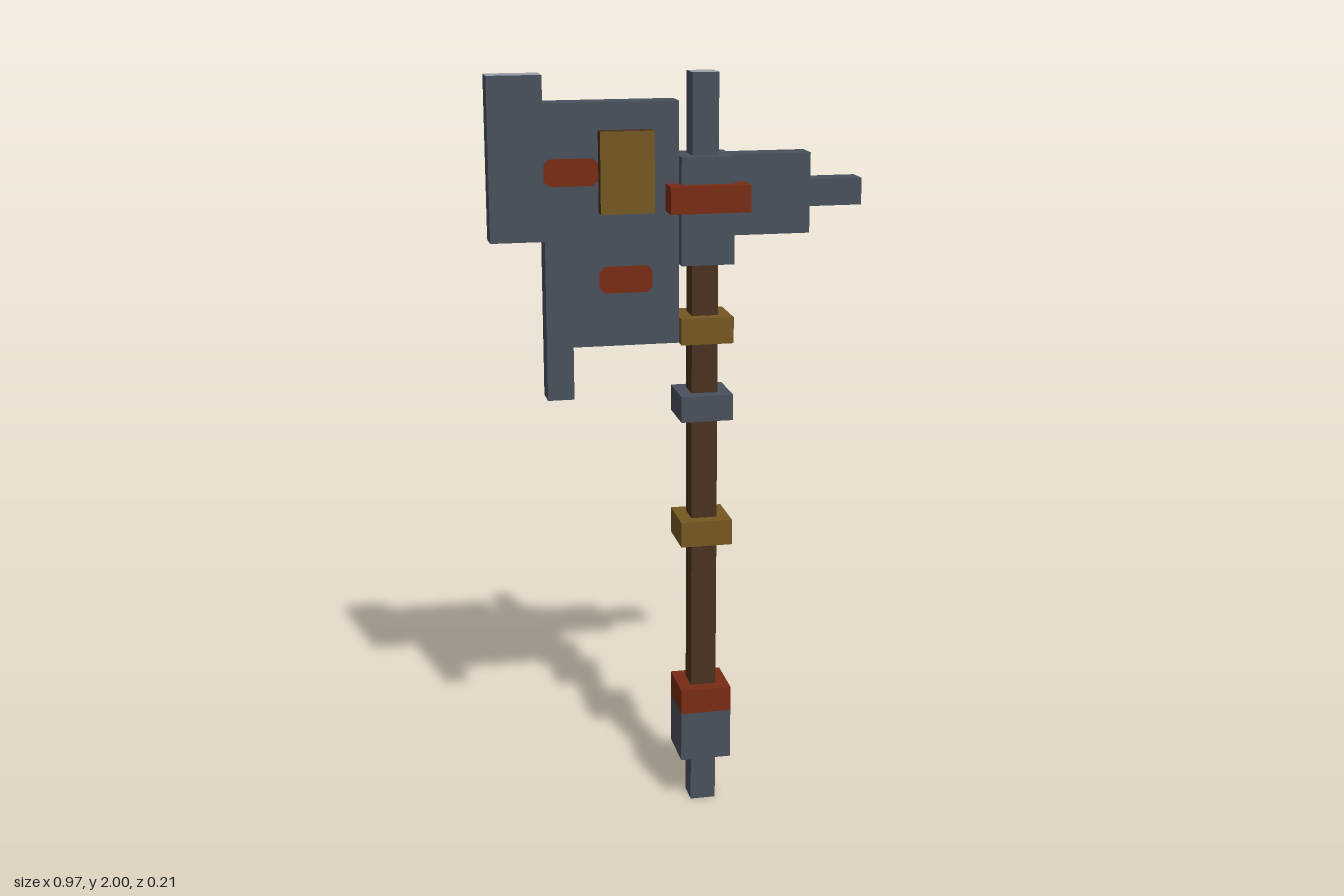
import * as THREE from 'three';

const U = 2 / 29; // modelling unit: the handle thickness

const mat = (name, color) => new THREE.MeshStandardMaterial({ name, color });

export function createModel() {
  const steel = mat('steel', 0x4a515d);
  const brightSteel = mat('brightSteel', 0x9b9faa);
  const rust = mat('rust', 0x782c14);
  const gold = mat('gold', 0x755822);
  const wood = mat('wood', 0x4b311f);

  const group = new THREE.Group();
  const add = (name, geometry, material) => {
    const mesh = new THREE.Mesh(geometry, material);
    mesh.name = name;
    group.add(mesh);
    return mesh;
  };

  // Box between two x and y limits, centred on z, all in units
  const box = (name, x0, x1, y0, y1, halfZ, material) => {
    const mesh = add(name, new THREE.BoxGeometry((x1 - x0) * U, (y1 - y0) * U, 2 * halfZ * U), material);
    mesh.position.set((x0 + x1) / 2 * U, (y0 + y1) / 2 * U, 0);
    return mesh;
  };

  // Flat outline extruded to the handle's thickness
  const slab = (name, points) => {
    const shape = new THREE.Shape(points.map(([x, y]) => new THREE.Vector2(x * U, y * U)));
    const geometry = new THREE.ExtrudeGeometry(shape, { depth: U, bevelEnabled: false });
    geometry.translate(0, 0, -U / 2);
    return add(name, geometry, steel);
  };

  // Box faces run +x, -x, +y, -y, +z, -z
  const brightTop = [steel, steel, brightSteel, steel, steel, steel];
  const goldFaces = [wood, wood, wood, wood, gold, gold];

  // Handle and its fittings
  box('pommelTip', 0.5, 1.5, 0, 2, 0.5, steel);
  box('pommel', 0, 2, 2, 4, 1, steel);
  box('pommelBand', 0, 2, 4, 5, 1, rust);
  box('handle', 0.5, 1.5, 5, 22, 0.5, wood);
  box('lowerRing', 0, 2, 11, 12, 1, gold);
  box('middleRing', 0, 2, 16, 17, 1, steel);
  box('upperRing', 0, 2, 19, 20, 1, gold);

  // Head socket, binding and top spike
  box('socket', 0, 2, 22, 26, 1, steel);
  box('binding', -0.5, 2.5, 24, 25, 1.5, rust);
  box('topSpike', 0.5, 1.5, 26, 29, 0.5, brightTop);

  // Blade with lower barb, and the bright-topped cutting edge
  slab('blade', [[-5, 17], [-4, 17], [-4, 19], [0, 19], [0, 28], [-5, 28]]);
  box('cuttingEdge', -7, -5, 23, 29, 0.5, brightTop);

  // Stepped back spike
  slab('backSpike', [[2, 23], [5, 23], [5, 24], [7, 24], [7, 25], [5, 25], [5, 26], [2, 26]]);

  // Gold plate through the blade
  box('bladePlate', -3, -1, 24, 27, 1, goldFaces);

  // Painted marks with clipped corners, on both blade faces
  const c = 0.2;
  for (const [x, y] of [[-5, 25], [-3, 21]]) {
    const outline = [[c, 0], [2 - c, 0], [2, c], [2, 1 - c], [2 - c, 1], [c, 1], [0, 1 - c], [0, c]];
    const shape = new THREE.Shape(outline.map(([px, py]) => new THREE.Vector2((x + px) * U, (y + py) * U)));
    for (const side of [1, -1]) {
      const geometry = new THREE.ExtrudeGeometry(shape, { depth: 0.004, bevelEnabled: false });
      geometry.translate(0, 0, side * U / 2 - 0.002);
      add(side > 0 ? 'frontMark' : 'backMark', geometry, rust);
    }
  }

  return group;
}
